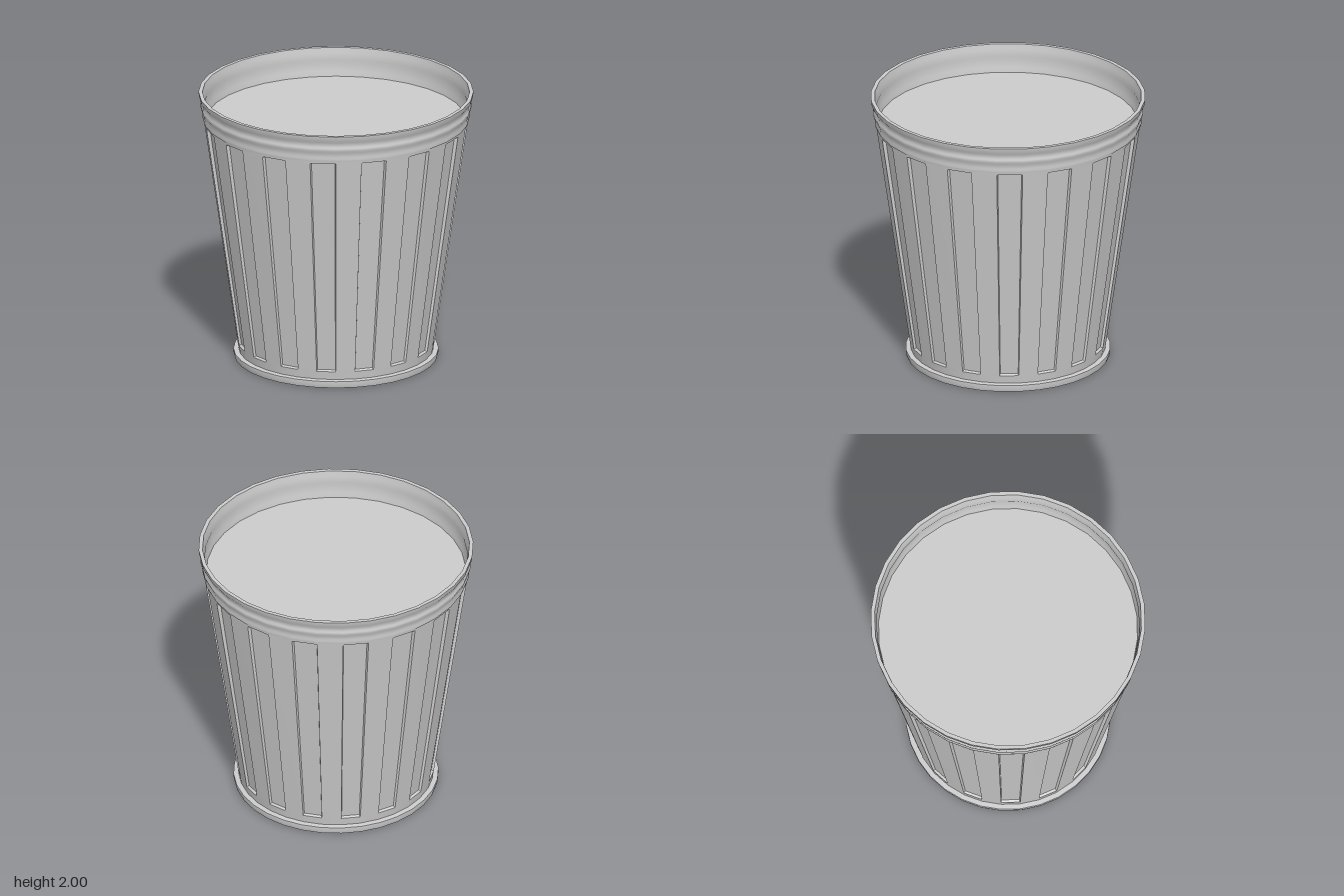
import * as THREE from 'three';
import { toCreasedNormals } from 'three/addons/utils/BufferGeometryUtils.js';

const SIDES = 32;
const material = new THREE.MeshStandardMaterial({ color: 0xcccccc, side: THREE.DoubleSide });

function addMesh(group, name, geometry) {
  const mesh = new THREE.Mesh(geometry, material);
  mesh.name = name;
  group.add(mesh);
  return mesh;
}

function lathe(points, crease = 0.5) {
  const profile = points.map(([r, y]) => new THREE.Vector2(r, y));
  return toCreasedNormals(new THREE.LatheGeometry(profile, SIDES), crease);
}

// Tapered wall with 16 shallow sunken panels, as stacked cross-sections
function flutedWall() {
  const radiusAt = (y) => 0.70 + (0.95 - 0.70) * (y - 0.05) / 1.74;
  // height, panel depth
  const rows = [[0.04, 0], [0.115, 0], [0.125, 0.018], [1.775, 0.025], [1.782, 0], [1.81, 0]];
  const step = (Math.PI * 2) / SIDES;
  // Each flute: [angle in steps, sunken]
  const flute = [[0, 0], [0.03, 1], [0.97, 1], [1, 0]];
  const columns = (SIDES / 2) * flute.length;
  const positions = [];
  const indices = [];

  for (const [y, depth] of rows) {
    for (let i = 0; i < SIDES / 2; i++) {
      for (const [t, sunken] of flute) {
        const a = (2 * i + t) * step;
        const r = radiusAt(y) - depth * sunken;
        positions.push(r * Math.sin(a), y, r * Math.cos(a));
      }
    }
  }
  for (let j = 0; j < rows.length - 1; j++) {
    for (let i = 0; i < columns; i++) {
      const next = (i + 1) % columns;
      const a = j * columns + i;
      const b = j * columns + next;
      indices.push(a, b, b + columns, a, b + columns, a + columns);
    }
  }
  const geometry = new THREE.BufferGeometry();
  geometry.setAttribute('position', new THREE.Float32BufferAttribute(positions, 3));
  geometry.setIndex(indices);
  return toCreasedNormals(geometry, 0.5);
}

export function createModel() {
  const group = new THREE.Group();
  group.name = 'trashCan';

  addMesh(group, 'wall', flutedWall());

  // Flat foot ring with closed bottom
  addMesh(group, 'base', lathe([
    [0, 0], [0.73, 0], [0.737, 0.025], [0.737, 0.05], [0.695, 0.055],
  ]));

  // Stepped rim: outside going up, over the lip, inside going down
  addMesh(group, 'rim', lathe([
    [0.945, 1.80], [0.958, 1.802], [0.962, 1.82], [0.958, 1.835],
    [0.966, 1.87], [0.973, 1.885], [0.975, 1.905], [0.968, 1.915],
    [0.974, 1.95], [0.984, 1.965], [0.988, 2.0],
    [0.960, 2.0], [0.953, 1.96], [0.945, 1.91], [0.950, 1.885],
    [0.938, 1.83], [0.932, 1.79],
  ], 0.8));

  // Flat surface closing the can just below the rim
  const fill = addMesh(group, 'innerCover', new THREE.CircleGeometry(0.94, SIDES));
  fill.rotation.x = -Math.PI / 2;
  fill.position.y = 1.79;

  return group;
}
